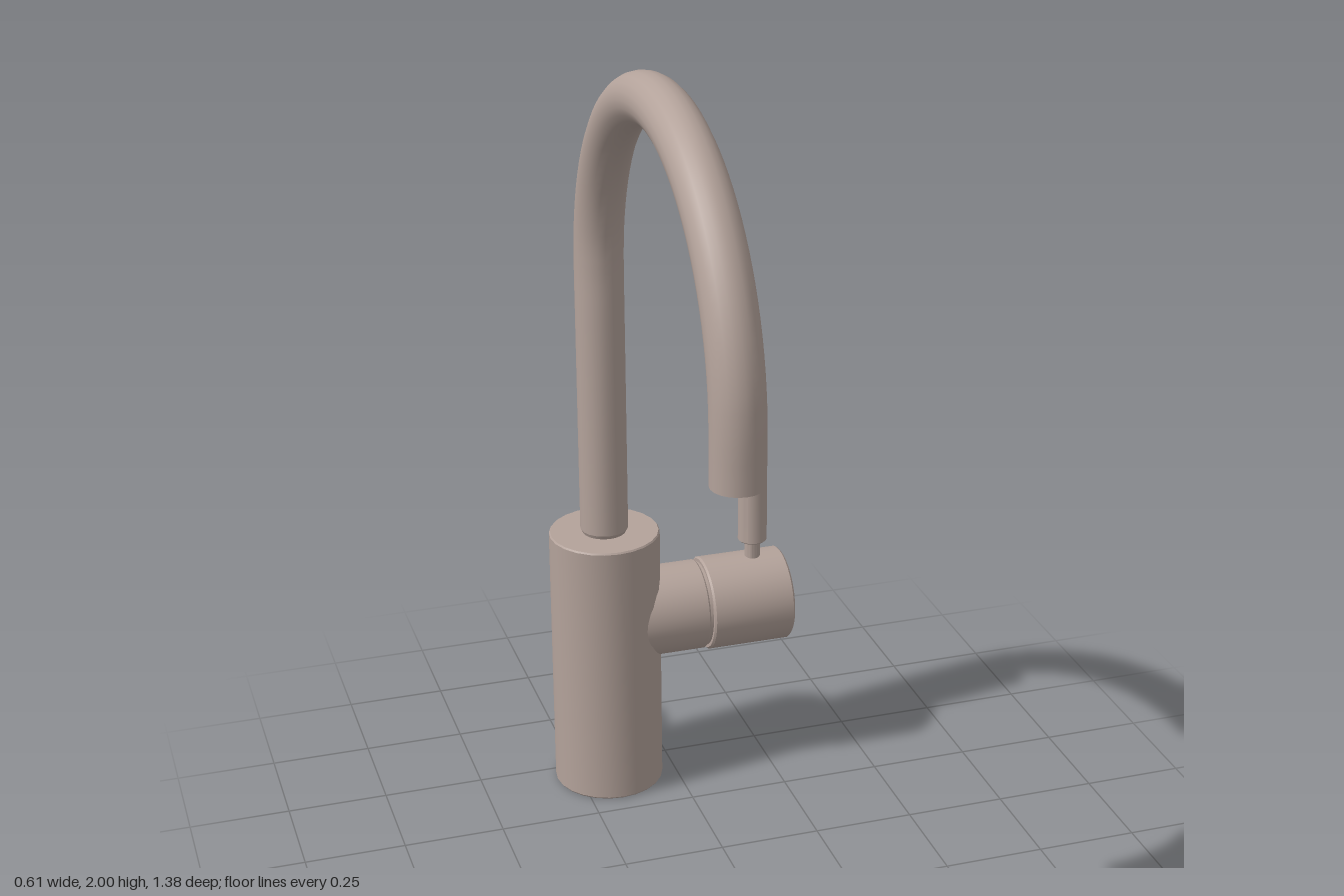
import * as THREE from 'three';
import { toCreasedNormals } from 'three/addons/utils/BufferGeometryUtils.js';

const X = -0.17, Z = -0.44; // axis of the body

export function createModel() {
  const model = new THREE.Group();
  model.name = 'tap';
  const material = new THREE.MeshStandardMaterial({ color: 0xb3a29a });

  const add = (name, geometry, parent = model) => {
    const mesh = new THREE.Mesh(geometry, material);
    mesh.name = name;
    parent.add(mesh);
    return mesh;
  };
  // Turned part from [radius, height] pairs, bottom to top
  const turned = (profile, sides = 24) => toCreasedNormals(
    new THREE.LatheGeometry(profile.map(([r, y]) => new THREE.Vector2(r, y)), sides), 0.6);
  // Round bar along a path of points
  const bar = (points, radius, steps, sides) =>
    new THREE.TubeGeometry(new THREE.CatmullRomCurve3(points), steps, radius, sides);

  // Body
  add('body', turned([[0, 0], [0.136, 0], [0.139, 0.004], [0.139, 0.696], [0.136, 0.7], [0, 0.7]]))
    .position.set(X, 0, Z);

  // Spout: riser, half-circle arch and short drop
  const R = 0.535, archY = 1.405, tipY = 1.285;
  const path = [];
  for (let i = 0; i < 6; i++) path.push(new THREE.Vector3(X, 0.71 + (archY - 0.71) * i / 6, Z));
  for (let i = 0; i <= 20; i++) {
    const a = Math.PI * i / 20;
    path.push(new THREE.Vector3(X, archY + R * Math.sin(a), Z + R - R * Math.cos(a)));
  }
  path.push(new THREE.Vector3(X, 1.345, Z + 2 * R), new THREE.Vector3(X, tipY, Z + 2 * R));
  const spout = new THREE.Group();
  spout.name = 'spout';
  model.add(spout);
  add('spoutTube', bar(path, 0.06, 72, 20), spout);
  add('spoutFoot', turned([[0.054, 0.698], [0.06, 0.712]], 20), spout).position.set(X, 0, Z);
  const tip = add('spoutTip', new THREE.CircleGeometry(0.06, 20), spout);
  tip.rotation.x = Math.PI / 2;
  tip.position.set(X, tipY, Z + 2 * R);

  // Valve on the side: neck, groove and cap, turned along +x
  const valve = add('valve', turned([
    [0, 0], [0.115, 0], [0.115, 0.242], [0.112, 0.246], [0.108, 0.246], [0.108, 0.254],
    [0.116, 0.254], [0.12, 0.259], [0.12, 0.465], [0.115, 0.47], [0, 0.47],
  ], 32));
  valve.rotation.z = -Math.PI / 2;
  valve.position.set(X, 0.456, Z);

  // Lever: thin pin and upright grip
  add('lever', turned([
    [0.02, 0.55], [0.02, 0.62], [0.034, 0.62], [0.037, 0.623], [0.037, 0.992], [0.034, 0.996], [0, 0.996],
  ], 20)).position.set(0.22, 0, Z + 0.004);

  // Small hook at the back, bending up and out
  const hook = [[0.17, -0.565], [0.2, -0.578], [0.235, -0.588], [0.252, -0.61], [0.255, -0.64], [0.255, -0.687]]
    .map(([y, z]) => new THREE.Vector3(X, y, z));
  add('hook', bar(hook, 0.012, 20, 10));
  const hookEnd = add('hookEnd', new THREE.CircleGeometry(0.012, 10));
  hookEnd.rotation.y = Math.PI;
  hookEnd.position.copy(hook[5]);

  return model;
}
